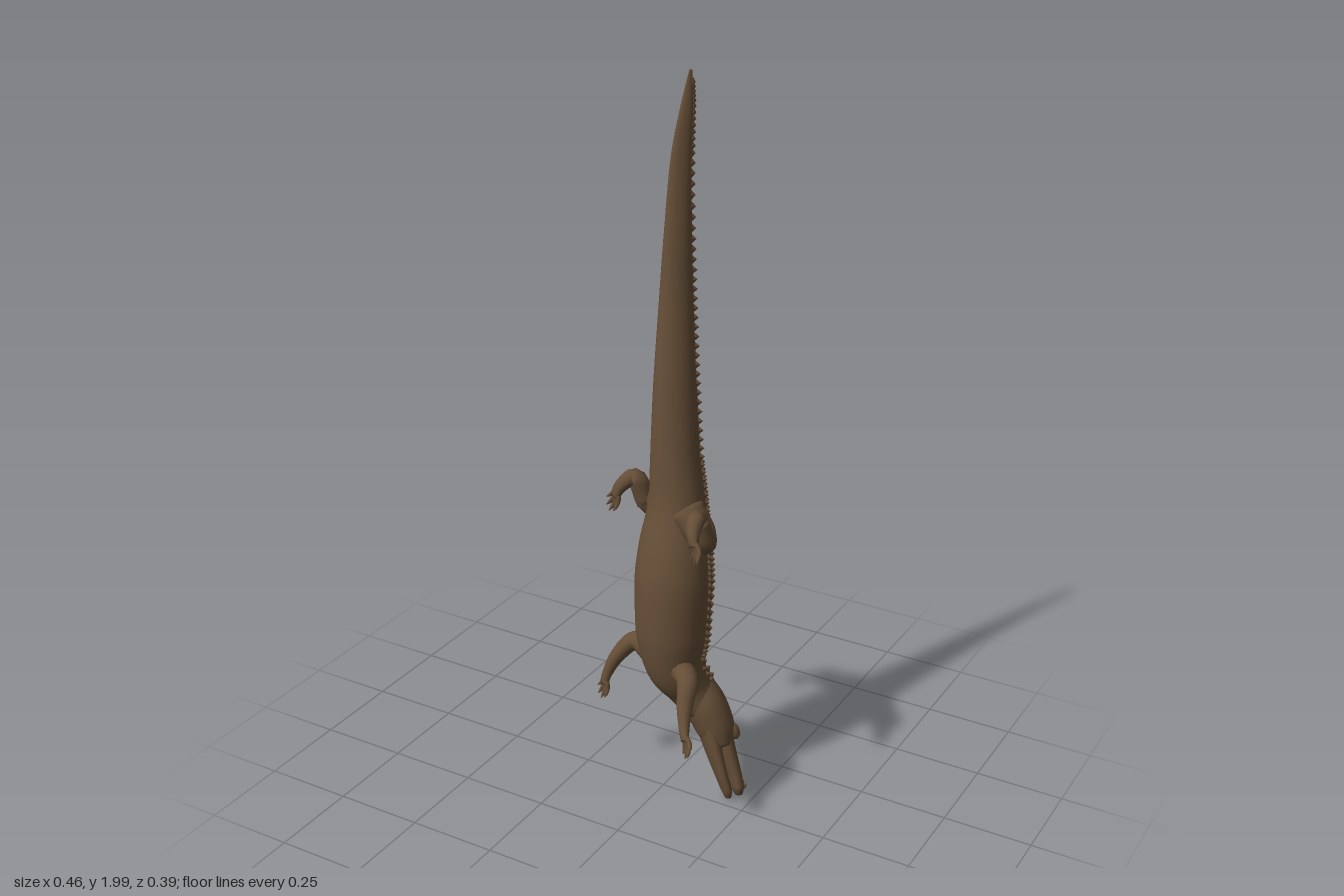
import * as THREE from 'three';
import { mergeGeometries } from 'three/addons/utils/BufferGeometryUtils.js';

const V = (x, y, z) => new THREE.Vector3(x, y, z);
const DORSAL = V(0.66, 0, -0.75); // direction the back faces
const SIDE = V(0.75, 0, 0.66);    // across the body

// Smooth frame along cross-sections [x, y, z, half width, half depth]
function makeSpine(sections) {
  const centre = new THREE.CatmullRomCurve3(sections.map(s => V(s[0], s[1], s[2])));
  const size = new THREE.CatmullRomCurve3(sections.map(s => V(s[3], s[4], 0)));
  return t => {
    const tan = centre.getTangent(t);
    const up = DORSAL.clone().addScaledVector(tan, -DORSAL.dot(tan)).normalize();
    const side = tan.clone().cross(up);
    const r = size.getPoint(t);
    const c = centre.getPoint(t);
    const at = (angle, k = 1) => c.clone()
      .addScaledVector(up, Math.cos(angle) * r.y * k)
      .addScaledVector(side, Math.sin(angle) * r.x * k);
    return { tan, up, side, c, at };
  };
}

// Closed skin swept over the cross-sections
function loft(sections, steps, sides) {
  const spine = makeSpine(sections);
  const pos = [], index = [];
  for (let i = -1; i <= steps + 1; i++) {
    const frame = spine(Math.min(Math.max(i / steps, 0), 1));
    const k = i < 0 || i > steps ? 0 : 1;
    for (let j = 0; j < sides; j++) pos.push(...frame.at(j / sides * Math.PI * 2, k).toArray());
  }
  for (let i = 0; i < steps + 2; i++) {
    for (let j = 0; j < sides; j++) {
      const a = i * sides + j, b = i * sides + (j + 1) % sides;
      index.push(a, b, a + sides, b, b + sides, a + sides);
    }
  }
  const g = new THREE.BufferGeometry();
  g.setAttribute('position', new THREE.Float32BufferAttribute(pos, 3));
  g.setIndex(index);
  g.computeVertexNormals();
  return g;
}

const BODY = [
  [0.09, 0.27, -0.062, 0.06, 0.056], [0.05, 0.33, -0.05, 0.073, 0.066],
  [0.02, 0.4, -0.025, 0.086, 0.08], [0.012, 0.5, -0.028, 0.108, 0.1],
  [0.01, 0.65, -0.036, 0.113, 0.105], [0.008, 0.75, -0.047, 0.104, 0.097],
  [0.006, 0.87, -0.062, 0.08, 0.078], [-0.003, 1.0, -0.068, 0.062, 0.068],
  [-0.014, 1.2, -0.083, 0.046, 0.058], [-0.025, 1.4, -0.107, 0.034, 0.047],
  [-0.03, 1.6, -0.124, 0.022, 0.037], [-0.034, 1.8, -0.148, 0.012, 0.027],
  [-0.031, 1.92, -0.17, 0.007, 0.016], [-0.03, 2.0, -0.185, 0.002, 0.004],
];
const SKULL = [
  [0.055, 0.335, -0.06, 0.058, 0.052], [0.095, 0.27, -0.066, 0.07, 0.059],
  [0.125, 0.21, -0.068, 0.065, 0.055], [0.145, 0.16, -0.064, 0.05, 0.04],
];
const UPPER_JAW = [
  [0.13, 0.22, -0.08, 0.055, 0.03], [0.16, 0.14, -0.073, 0.046, 0.025],
  [0.185, 0.08, -0.069, 0.037, 0.02], [0.2, 0.035, -0.066, 0.033, 0.018],
  [0.207, 0.012, -0.065, 0.018, 0.011],
];
const LOWER_JAW = [
  [0.11, 0.22, -0.05, 0.055, 0.03], [0.14, 0.14, -0.04, 0.044, 0.021],
  [0.165, 0.08, -0.035, 0.035, 0.016], [0.182, 0.035, -0.036, 0.029, 0.014],
  [0.188, 0.012, -0.036, 0.016, 0.009],
];
// Limb paths from body to palm
const LEGS = {
  leftFrontLeg: [[0.06, 0.41, 0.01, 0.036, 0.036], [0.12, 0.425, 0.08, 0.028, 0.03],
    [0.137, 0.37, 0.125, 0.02, 0.022], [0.152, 0.325, 0.153, 0.017, 0.014], [0.163, 0.3, 0.168, 0.019, 0.01]],
  rightFrontLeg: [[-0.03, 0.37, -0.045, 0.036, 0.036], [-0.115, 0.42, -0.05, 0.028, 0.03],
    [-0.16, 0.375, -0.025, 0.021, 0.022], [-0.187, 0.315, -0.008, 0.016, 0.014], [-0.195, 0.285, -0.003, 0.019, 0.01]],
  leftHindLeg: [[0.06, 0.88, -0.02, 0.046, 0.046], [0.11, 0.83, -0.005, 0.042, 0.042],
    [0.137, 0.82, 0.02, 0.03, 0.03], [0.128, 0.9, 0.05, 0.026, 0.026],
    [0.138, 0.875, 0.088, 0.02, 0.018], [0.148, 0.845, 0.1, 0.021, 0.011]],
  rightHindLeg: [[-0.035, 0.88, -0.1, 0.046, 0.046], [-0.085, 0.83, -0.125, 0.042, 0.04],
    [-0.118, 0.815, -0.122, 0.03, 0.03], [-0.148, 0.895, -0.1, 0.026, 0.026],
    [-0.18, 0.87, -0.08, 0.02, 0.018], [-0.196, 0.84, -0.075, 0.021, 0.011]],
};

export function createModel() {
  const root = new THREE.Group();
  root.name = 'reptile';
  const hide = new THREE.MeshStandardMaterial({ color: 0x654e37 });
  hide.name = 'brown hide';
  const add = (parent, name, geometry) => {
    const m = new THREE.Mesh(geometry, hide);
    m.name = name;
    parent.add(m);
    return m;
  };

  add(root, 'bodyAndTail', loft(BODY, 90, 28));

  // Head with parted jaws, eye bumps and nostrils
  const head = new THREE.Group();
  head.name = 'head';
  root.add(head);
  add(head, 'skull', loft(SKULL, 14, 20));
  add(head, 'upperJaw', loft(UPPER_JAW, 20, 18));
  add(head, 'lowerJaw', loft(LOWER_JAW, 20, 18));
  for (const s of [-1, 1]) {
    const eye = add(head, s > 0 ? 'leftEyeRidge' : 'rightEyeRidge', new THREE.SphereGeometry(0.018, 12, 8));
    eye.scale.set(0.9, 1.5, 0.9);
    eye.rotation.z = 0.4;
    eye.position.set(0.154, 0.2, -0.104).addScaledVector(SIDE, s * 0.031);
    const nostril = add(head, 'nostril', new THREE.SphereGeometry(0.008, 8, 6));
    nostril.position.set(0.211, 0.035, -0.079).addScaledVector(SIDE, s * 0.009);
  }

  // Keeled scutes standing on the back
  const spine = makeSpine(BODY);
  const scutes = [];
  const scute = (t, angle, height, length) => {
    const f = spine(t);
    const base = f.at(angle, 0.97);
    const out = f.at(angle).sub(f.c).normalize();
    const across = out.clone().cross(f.tan).normalize();
    const along = across.clone().cross(out);
    const g = new THREE.ConeGeometry(1, 1, 4).toNonIndexed();
    g.translate(0, 0.5, 0);
    g.scale(length * 0.45, height, length);
    g.applyMatrix4(new THREE.Matrix4().makeBasis(across, out, along).setPosition(base));
    g.computeVertexNormals();
    scutes.push(g);
  };
  for (let i = 0; i < 32; i++) {
    const t = 0.14 + i * 0.0125; // trunk rows
    for (const a of [0.17, 0.48, 0.8]) {
      if (a > 0.7 && (i < 3 || i > 24)) continue;
      for (const s of [-1, 1]) scute(t, s * a, 0.012, 0.013);
    }
  }
  for (let i = 0; i < 20; i++) { // paired tail crests closing into one
    for (const s of [-1, 1]) scute(0.54 + i * 0.0095, s * (0.5 - i * 0.022), 0.014, 0.012);
  }
  for (let i = 0; i < 24; i++) scute(0.73 + i * 0.0105, 0, 0.015 - i * 0.0003, 0.013);
  for (const t of [0.06, 0.085, 0.11]) { // neck shields
    for (const a of [-0.6, -0.2, 0.2, 0.6]) scute(t, a, 0.014, 0.014);
  }
  add(root, 'backScutes', mergeGeometries(scutes));

  // Legs with fanned, clawed toes
  for (const [name, path] of Object.entries(LEGS)) {
    const leg = new THREE.Group();
    leg.name = name;
    root.add(leg);
    add(leg, 'limb', loft(path, 28, 12));
    const f = makeSpine(path)(1);
    [-1, -0.33, 0.33, 1].forEach((s, i) => {
      const dir = f.tan.clone().addScaledVector(f.side, s * 0.45).normalize();
      const start = f.c.clone().addScaledVector(f.side, s * 0.013).addScaledVector(f.tan, -0.01);
      const length = i === 0 || i === 3 ? 0.045 : 0.056;
      const joint = (k, r) => [...start.clone().addScaledVector(dir, length * k)
        .addScaledVector(f.up, 0.006 * Math.sin(k * Math.PI)).toArray(), r, r];
      add(leg, 'toe', loft([joint(0, 0.008), joint(0.4, 0.007), joint(0.75, 0.0055), joint(1, 0.001)], 8, 7));
    });
  }
  return root;
}
